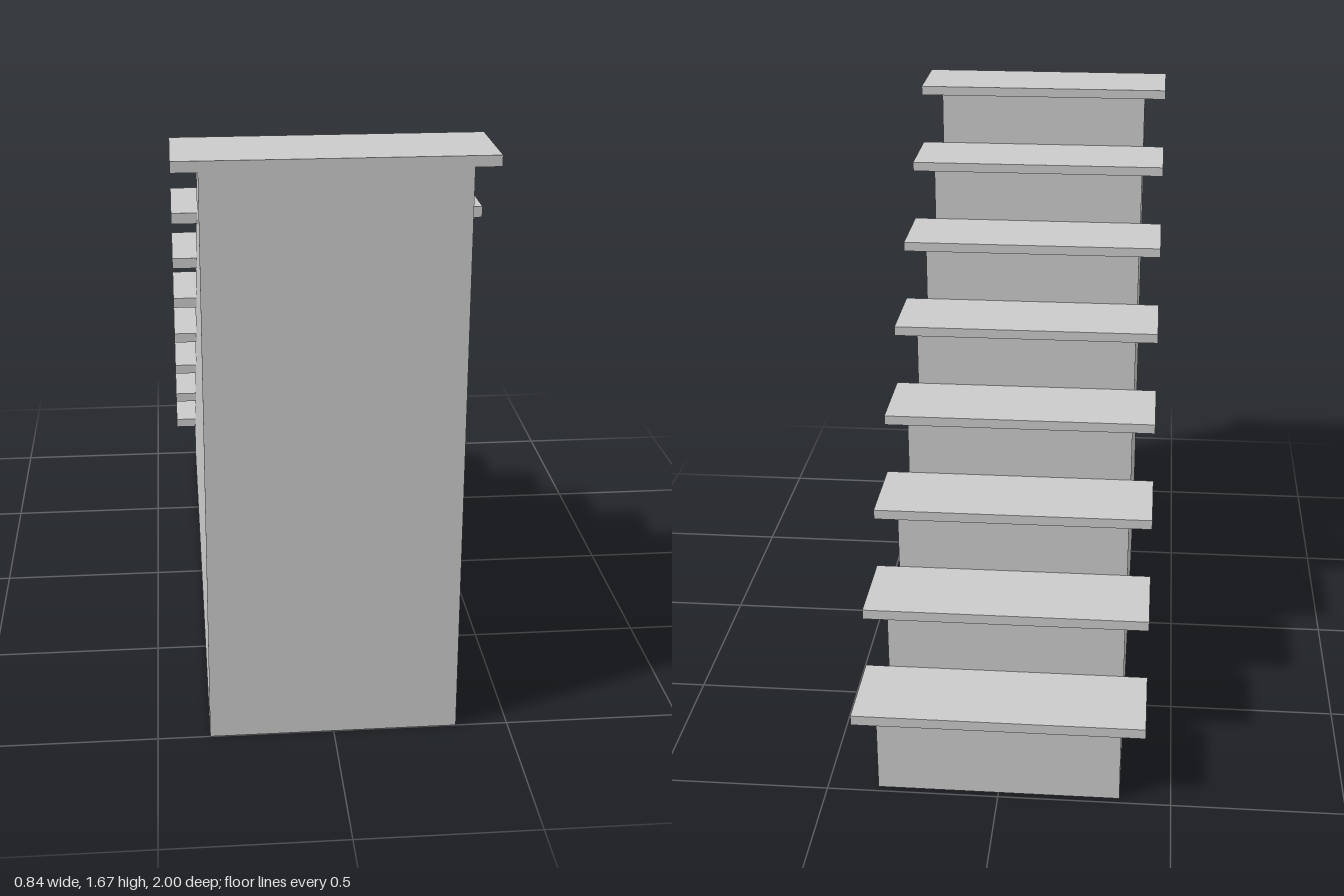
import * as THREE from 'three';

const STEPS = 8;
const DEPTH = 0.2475;       // run of each step
const RISE = 0.2026;        // height between treads
const FIRST = 0.225;        // underside of the lowest tread
const THICK = 0.03;         // tread thickness
const NOSE = 0.02;          // tread overhang past its riser
const FRONT = -0.98;        // lowest riser
const BODY_W = 0.704;
const TREAD_W = 0.844;

export function createModel() {
  const group = new THREE.Group();
  group.name = 'staircase';
  const material = new THREE.MeshStandardMaterial({ color: 0xcccccc, flatShading: true });

  // Solid stepped body: side outline drawn in (z, y), extruded across the width
  const outline = new THREE.Shape();
  outline.moveTo(FRONT, 0);
  for (let i = 0; i < STEPS; i++) {
    const y = FIRST + i * RISE;
    outline.lineTo(FRONT + i * DEPTH, y);
    outline.lineTo(FRONT + (i + 1) * DEPTH, y);
  }
  outline.lineTo(FRONT + STEPS * DEPTH, 0);
  const bodyGeometry = new THREE.ExtrudeGeometry(outline, { depth: BODY_W, bevelEnabled: false });
  bodyGeometry.translate(0, 0, -BODY_W / 2);
  bodyGeometry.rotateY(-Math.PI / 2);
  const body = new THREE.Mesh(bodyGeometry, material);
  body.name = 'steppedBody';
  group.add(body);

  // Overhanging tread slabs, climbing towards +z
  const treadGeometry = new THREE.BoxGeometry(TREAD_W, THICK, DEPTH + NOSE);
  for (let i = 0; i < STEPS; i++) {
    const tread = new THREE.Mesh(treadGeometry, material);
    tread.name = `tread${i + 1}`;
    tread.position.set(0, FIRST + i * RISE + THICK / 2, FRONT + i * DEPTH + (DEPTH - NOSE) / 2);
    group.add(tread);
  }
  return group;
}
